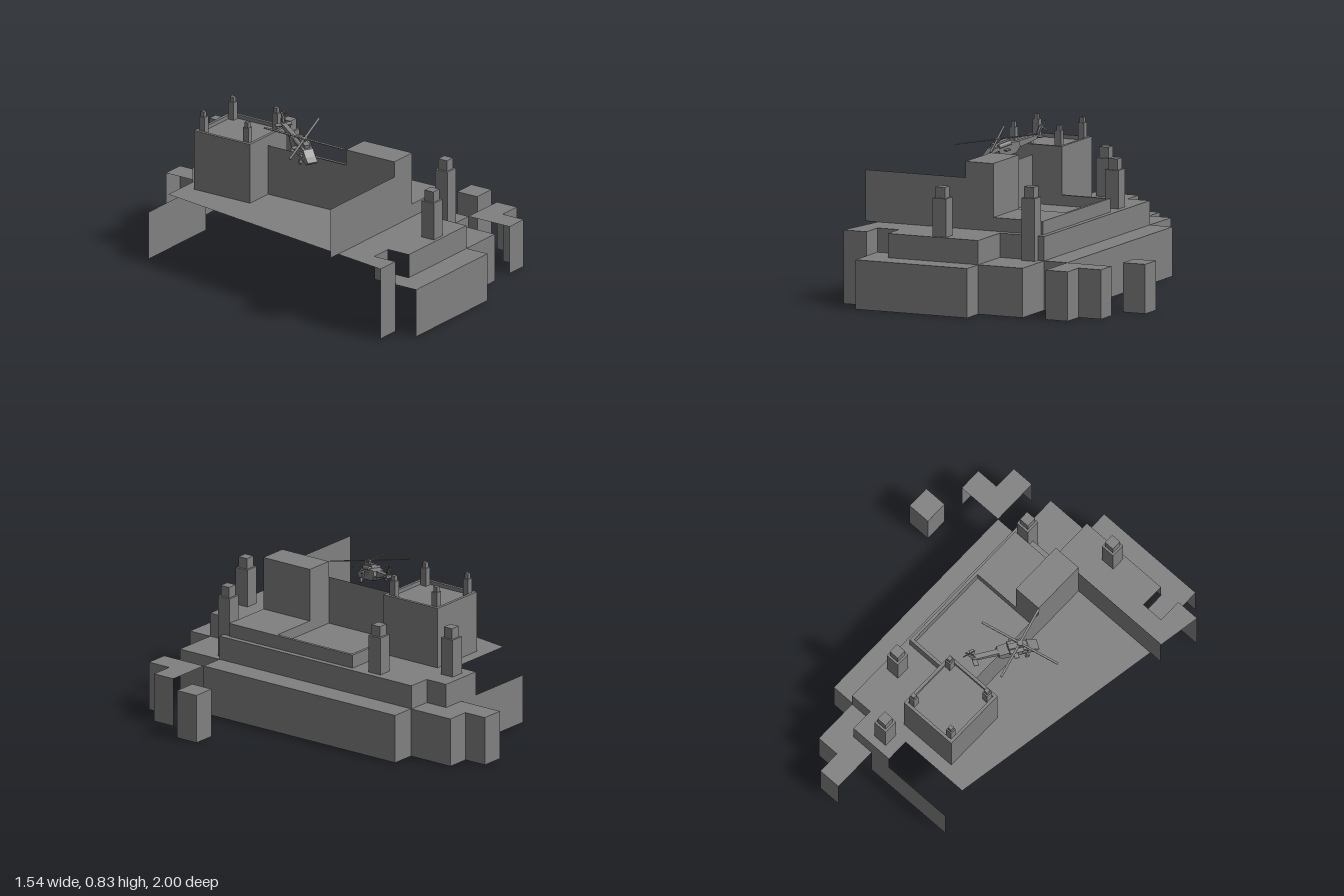
import * as THREE from 'three';

const stone = new THREE.MeshStandardMaterial({ color: 0x808080, side: THREE.DoubleSide });
stone.name = 'stone grey';

function add(parent, name, geometry, x = 0, y = 0, z = 0) {
  const mesh = new THREE.Mesh(geometry, stone);
  mesh.name = name;
  mesh.position.set(x, y, z);
  parent.add(mesh);
  return mesh;
}

// Single-sheet surfaces: walls along x, walls along z, level slabs
const wallZ = (p, name, x0, x1, z, y0, y1) =>
  add(p, name, new THREE.PlaneGeometry(x1 - x0, y1 - y0), (x0 + x1) / 2, (y0 + y1) / 2, z);
const wallX = (p, name, x, z0, z1, y0, y1) =>
  add(p, name, new THREE.PlaneGeometry(z1 - z0, y1 - y0).rotateY(Math.PI / 2), x, (y0 + y1) / 2, (z0 + z1) / 2);
function deck(p, name, points, y) {
  const shape = new THREE.Shape(points.map(([x, z]) => new THREE.Vector2(x, -z)));
  return add(p, name, new THREE.ShapeGeometry(shape).rotateX(-Math.PI / 2), 0, y, 0);
}
const rect = (x0, x1, z0, z1) => [[x0, z0], [x0, z1], [x1, z1], [x1, z0]];

// Four walls without floor or lid
function ring(p, name, x0, x1, z0, z1, y0, y1) {
  wallZ(p, name, x0, x1, z0, y0, y1);
  wallZ(p, name, x0, x1, z1, y0, y1);
  wallX(p, name, x0, z0, z1, y0, y1);
  wallX(p, name, x1, z0, z1, y0, y1);
}
function block(p, name, x0, x1, z0, z1, y0, y1) {
  ring(p, name, x0, x1, z0, z1, y0, y1);
  deck(p, name + 'Top', rect(x0, x1, z0, z1), y1);
}

function makeBase() {
  const g = new THREE.Group();
  g.name = 'base';
  const L = 0.255, U = 0.38;
  // lower terrace
  deck(g, 'frontTerrace', [[-0.62, 0.74], [-0.62, 1], [0.01, 1], [0.01, 0.87], [-0.5, 0.87], [-0.5, 0.74]], L);
  deck(g, 'cornerTerrace', rect(0.01, 0.26, 0.615, 0.87), L);
  deck(g, 'sideTerrace', rect(0.26, 0.39, -0.62, 0.615), L);
  deck(g, 'rearTerrace', [[0.01, -1], [0.01, -0.75], [0.135, -0.75], [0.135, -0.62], [0.26, -0.62], [0.26, -0.875], [0.135, -0.875], [0.135, -1]], L);
  // lower walls
  for (const [x0, x1, z] of [[-0.62, 0.01, 1], [0.01, 0.26, 0.87], [0.26, 0.39, 0.615],
    [0.26, 0.39, -0.62], [0.135, 0.26, -0.875], [0.01, 0.135, -1], [-0.5, 0.01, -0.75]])
    wallZ(g, 'lowerWall', x0, x1, z, 0, L);
  for (const [x, z0, z1] of [[0.01, 0.87, 1], [0.26, 0.615, 0.87], [0.39, -0.62, 0.615],
    [0.26, -0.875, -0.62], [0.135, -1, -0.875]])
    wallX(g, 'lowerWall', x, z0, z1, 0, L);
  // upper deck with slanted right edge
  deck(g, 'upperDeck', [[-0.5, -0.625], [-0.75, 0.87], [-0.62, 0.87], [-0.62, 0.74], [-0.5, 0.74],
    [-0.5, 0.87], [0.01, 0.87], [0.01, 0.615], [0.26, 0.615], [0.26, -0.625], [0.135, -0.625],
    [0.135, -0.75], [-0.11, -0.75], [-0.11, -0.625]], U);
  wallZ(g, 'cornerWall', -0.75, -0.62, 0.87, 0, U);
  for (const [x0, x1, z] of [[-0.62, -0.5, 0.74], [-0.5, 0.01, 0.87], [0.01, 0.26, 0.615],
    [0.135, 0.26, -0.625], [-0.11, 0.135, -0.75]])
    wallZ(g, 'upperWall', x0, x1, z, L, U);
  for (const [x, z0, z1] of [[-0.62, 0.74, 0.87], [0.01, 0.615, 0.87], [0.26, -0.625, 0.615], [0.135, -0.75, -0.625]])
    wallX(g, 'upperWall', x, z0, z1, L, U);
  // outlying ruins
  deck(g, 'ruinTop', [[0.39, 0.615], [0.39, 0.87], [0.515, 0.87], [0.515, 0.74], [0.64, 0.74], [0.64, 0.615]], L);
  wallZ(g, 'ruinWall', 0.39, 0.515, 0.87, 0, L);
  wallZ(g, 'ruinWall', 0.515, 0.64, 0.74, 0, L);
  wallX(g, 'ruinWall', 0.515, 0.74, 0.87, 0, L);
  wallX(g, 'ruinWall', 0.64, 0.615, 0.74, 0, L);
  block(g, 'outerBlock', 0.645, 0.77, 0.365, 0.49, 0, L);
  return g;
}

function makeKeep() {
  const g = new THREE.Group();
  g.name = 'keep';
  const U = 0.38;
  // rear building with sunken roof and corner posts
  const [x0, x1, z0, z1] = [-0.365, -0.037, -0.56, -0.212], t = 0.016;
  ring(g, 'rearBuilding', x0, x1, z0, z1, U, 0.7);
  ring(g, 'parapetInside', x0 + t, x1 - t, z0 + t, z1 - t, 0.68, 0.7);
  deck(g, 'sunkenRoof', rect(x0 + t, x1 - t, z0 + t, z1 - t), 0.68);
  for (const [a, b, c, d] of [[x0, x1, z0, z0 + t], [x0, x1, z1 - t, z1], [x0, x0 + t, z0, z1], [x1 - t, x1, z0, z1]])
    deck(g, 'parapetTop', rect(a, b, c, d), 0.7);
  for (const x of [-0.33, -0.073]) for (const z of [-0.525, -0.253]) {
    block(g, 'cornerPost', x - 0.017, x + 0.017, z - 0.017, z + 0.017, 0.68, 0.775);
    block(g, 'postCap', x - 0.011, x + 0.011, z - 0.011, z + 0.011, 0.775, 0.803);
  }
  // gatehouse and long screen wall
  block(g, 'gatehouse', -0.205, -0.048, 0.272, 0.572, U, 0.728);
  wallZ(g, 'screenWall', -0.77, -0.205, 0.572, U, 0.645);
  wallX(g, 'courtBackWall', -0.205, -0.212, 0.272, U, 0.645);
  // courtyard with low rim
  deck(g, 'forecourt', rect(-0.048, 0.232, 0.272, 0.572), 0.45);
  deck(g, 'courtRim', rect(0.216, 0.232, -0.222, 0.272), 0.45);
  deck(g, 'courtRim', rect(-0.037, 0.232, -0.222, -0.206), 0.45);
  deck(g, 'courtFloor', rect(-0.205, 0.216, -0.206, 0.272), 0.395);
  wallX(g, 'courtOuterWall', 0.232, -0.222, 0.572, U, 0.45);
  wallZ(g, 'courtOuterWall', -0.048, 0.232, 0.572, U, 0.45);
  wallZ(g, 'courtOuterWall', -0.037, 0.232, -0.222, U, 0.45);
  wallX(g, 'courtInnerWall', 0.216, -0.206, 0.272, 0.395, 0.45);
  wallZ(g, 'courtInnerWall', -0.048, 0.216, 0.272, 0.395, 0.45);
  wallZ(g, 'courtInnerWall', -0.037, 0.216, -0.206, 0.395, 0.45);
  // watch towers
  for (const [x, z, y] of [[-0.01, -0.67, U], [0.19, -0.36, U], [0.187, 0.615, 0.255], [-0.217, 0.815, U]]) {
    block(g, 'tower', x - 0.038, x + 0.038, z - 0.038, z + 0.038, y, 0.578);
    block(g, 'towerCap', x - 0.027, x + 0.027, z - 0.027, z + 0.027, 0.578, 0.635);
  }
  return g;
}

function makeHelicopter() {
  const g = new THREE.Group();
  g.name = 'helicopter';
  const v = (a) => a.map(([z, y]) => new THREE.Vector2(z, y));
  const slab = (name, points, width, hole) => {
    const s = new THREE.Shape(v(points));
    if (hole) s.holes.push(new THREE.Path(v(hole)));
    const geo = new THREE.ExtrudeGeometry(s, { depth: width, bevelEnabled: false });
    return add(g, name, geo.translate(0, 0, -width / 2).rotateY(-Math.PI / 2));
  };
  slab('fuselage', [[0.115, -0.075], [0.1, -0.095], [-0.08, -0.095], [-0.11, -0.07], [-0.11, -0.045],
    [-0.07, -0.035], [0.05, -0.035], [0.085, -0.06]], 0.056,
  [[0.05, -0.08], [0.05, -0.055], [0.02, -0.055], [0.02, -0.08]]);
  slab('tailBoom', [[-0.1, -0.08], [-0.1, -0.045], [-0.25, -0.052], [-0.25, -0.068]], 0.026);
  slab('tailFin', [[-0.225, -0.066], [-0.245, -0.066], [-0.282, -0.008], [-0.262, -0.008]], 0.008);
  add(g, 'tailplane', new THREE.BoxGeometry(0.09, 0.005, 0.025), 0, -0.06, -0.24);
  add(g, 'engineHousing', new THREE.BoxGeometry(0.03, 0.022, 0.1), 0, -0.027, -0.01);
  for (const s of [-1, 1]) {
    add(g, 'engine', new THREE.CylinderGeometry(0.012, 0.012, 0.075, 8).rotateX(Math.PI / 2), s * 0.024, -0.034, -0.02);
    add(g, 'stubWing', new THREE.BoxGeometry(0.03, 0.006, 0.025), s * 0.04, -0.06, -0.02);
    add(g, 'wheelStrut', new THREE.BoxGeometry(0.012, 0.012, 0.012), s * 0.033, -0.095, 0.05);
    add(g, 'wheel', new THREE.CylinderGeometry(0.013, 0.013, 0.01, 8).rotateZ(Math.PI / 2), s * 0.038, -0.103, 0.05);
  }
  add(g, 'tailWheel', new THREE.CylinderGeometry(0.009, 0.009, 0.008, 8).rotateZ(Math.PI / 2), 0, -0.08, -0.2);
  add(g, 'mast', new THREE.CylinderGeometry(0.006, 0.008, 0.03, 8), 0, -0.01, 0);
  add(g, 'rotorHub', new THREE.CylinderGeometry(0.016, 0.016, 0.008, 8));
  for (let i = 0; i < 2; i++) {
    add(g, 'mainBlades', new THREE.BoxGeometry(0.44, 0.004, 0.012)).rotation.y = Math.PI / 4 + i * Math.PI / 2;
    add(g, 'tailBlades', new THREE.BoxGeometry(0.004, 0.075, 0.007), 0.012, -0.02, -0.27).rotation.x = Math.PI / 4 + i * Math.PI / 2;
  }
  // banked nose-down, flying over the court
  g.rotation.order = 'YXZ';
  g.rotation.set(0.215, -0.51, 0);
  g.position.set(-0.27, 0.762, 0.06);
  return g;
}

export function createModel() {
  const model = new THREE.Group();
  model.name = 'fortress';
  model.add(makeBase(), makeKeep(), makeHelicopter());
  return model;
}
